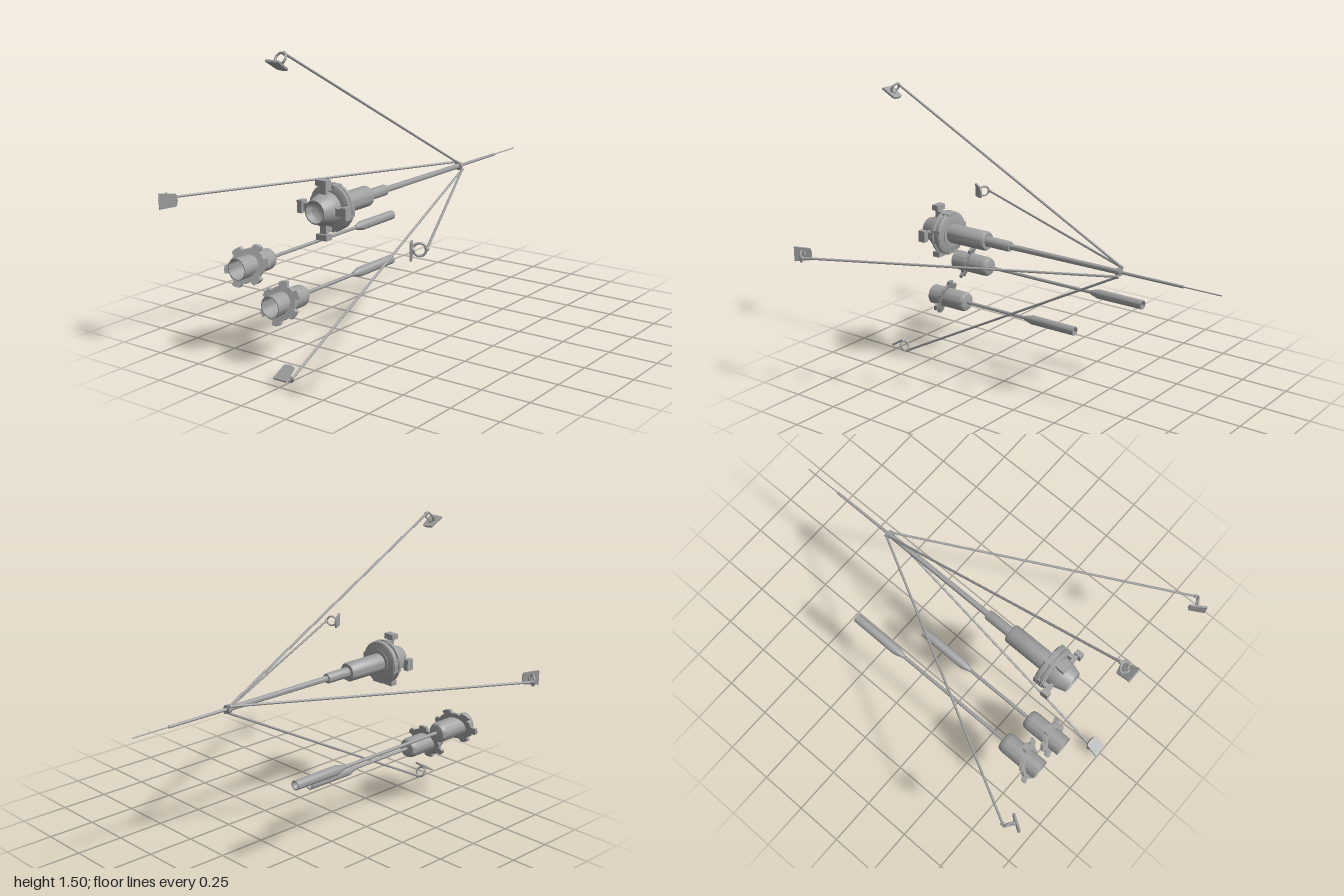
import * as THREE from 'three';
import { toCreasedNormals } from 'three/addons/utils/BufferGeometryUtils.js';

const CY = 0.753; // height of the central axis

export function createModel() {
  const model = new THREE.Group();
  const grey = new THREE.MeshStandardMaterial({ color: 0xa0a0a0 });
  grey.name = 'grey metal';

  const add = (parent, name, geo, x = 0, y = 0, z = 0) => {
    const m = new THREE.Mesh(geo, grey);
    m.name = name;
    m.position.set(x, y, z);
    parent.add(m);
    return m;
  };
  // Turned part along z; profile is [z, radius], from back to front
  const turned = (profile, sides = 32) => toCreasedNormals(
    new THREE.LatheGeometry(profile.map(([z, r]) => new THREE.Vector2(r, z)), sides).rotateX(Math.PI / 2), 0.6);
  // Round bar between two points
  const bar = (parent, name, a, b, r) => {
    const A = new THREE.Vector3(...a), B = new THREE.Vector3(...b), d = B.clone().sub(A);
    const m = add(parent, name, new THREE.CylinderGeometry(r, r, d.length(), 10));
    m.position.copy(A).addScaledVector(d, 0.5);
    m.quaternion.setFromUnitVectors(new THREE.Vector3(0, 1, 0), d.normalize());
    return m;
  };

  // Central body: stepped barrel with a hollow nose
  const core = new THREE.Group();
  core.name = 'centralProbe';
  core.position.y = CY;
  model.add(core);
  add(core, 'barrel', turned([
    [0.2, 0], [0.2, 0.024], [0.21, 0.027], [0.345, 0.027], [0.345, 0.044], [0.355, 0.05],
    [0.575, 0.05], [0.575, 0.07], [0.65, 0.078], [0.685, 0.072], [0.735, 0.056],
    [0.735, 0.05], [0.7, 0.046], [0.685, 0.03], [0.68, 0]]));
  add(core, 'rearFlange', turned([
    [0.578, 0.05], [0.578, 0.1], [0.585, 0.112], [0.6, 0.112], [0.604, 0.104],
    [0.612, 0.104], [0.616, 0.115], [0.626, 0.115], [0.634, 0.1], [0.634, 0.07]]));

  // Antenna mast stepping down to a thin tip
  add(core, 'mast', turned([
    [-1, 0], [-1, 0.003], [-0.8, 0.003], [-0.8, 0.007], [-0.46, 0.008], [-0.46, 0.013], [0.2, 0.015]], 16));
  add(core, 'mastHub', turned([[-0.458, 0], [-0.458, 0.021], [-0.438, 0.021], [-0.438, 0]], 16));

  // Four clamps around the nose
  for (let i = 0; i < 4; i++) {
    const clamp = new THREE.Group();
    clamp.name = 'clamp' + (i + 1);
    clamp.rotation.z = i * Math.PI / 2;
    core.add(clamp);
    add(clamp, 'clampHead', new THREE.BoxGeometry(0.06, 0.028, 0.04), 0, 0.127, 0.67);
    add(clamp, 'clampStem', new THREE.BoxGeometry(0.036, 0.05, 0.018), 0, 0.093, 0.667);
    add(clamp, 'clampLink', new THREE.BoxGeometry(0.036, 0.022, 0.05), 0, 0.097, 0.645);
    add(clamp, 'flangeRib', new THREE.BoxGeometry(0.07, 0.016, 0.056), 0, 0.1, 0.606);
  }

  // Tapered foot plate, wider at its outer end
  const plate = new THREE.Shape();
  plate.moveTo(-0.038, -0.045);
  plate.lineTo(0.038, -0.045);
  plate.lineTo(0.03, 0.036);
  plate.quadraticCurveTo(0, 0.05, -0.03, 0.036);
  const plateGeo = new THREE.ExtrudeGeometry(plate, { depth: 0.01, bevelEnabled: false }).rotateX(-Math.PI / 2);

  // Four splayed legs; starts sit in pairs on opposite corners of the hub
  for (let i = 0; i < 4; i++) {
    const leg = new THREE.Group();
    leg.name = 'leg' + (i + 1);
    leg.rotation.z = -i * Math.PI / 2;
    core.add(leg);
    const side = i % 2 ? 0.018 : -0.018;
    bar(leg, 'strut', [side, 0.02, -0.45], [0, 0.74, 0.917], 0.006);
    add(leg, 'strutHinge', new THREE.SphereGeometry(0.009, 10, 8), side, 0.02, -0.45);
    add(leg, 'anklePivot', new THREE.SphereGeometry(0.01, 10, 8), 0, 0.74, 0.917);
    const foot = new THREE.Group();
    foot.name = 'foot';
    foot.position.set(0, 0.693, 0.96);
    foot.rotation.x = -0.558;
    leg.add(foot);
    add(foot, 'footPlate', plateGeo, 0, -0.005, 0);
    add(foot, 'footRing', new THREE.TorusGeometry(0.027, 0.0055, 8, 24), 0, 0.034, 0);
    add(foot, 'footBoss', new THREE.CylinderGeometry(0.012, 0.016, 0.01, 12), 0, 0.008, 0);
  }

  // Six-toothed collar outline
  const collarGeo = () => {
    const s = new THREE.Shape();
    for (let i = 0; i < 6; i++) {
      const c = i * Math.PI / 3;
      [[-0.27, 0.078], [-0.2, 0.097], [0, 0.099], [0.2, 0.097], [0.27, 0.078], [0.52, 0.08]].forEach(([a, r], k) => {
        const x = r * Math.cos(c + a), y = r * Math.sin(c + a);
        if (i + k) s.lineTo(x, y); else s.moveTo(x, y);
      });
    }
    const hole = new THREE.Path();
    hole.absarc(0, 0, 0.05, 0, Math.PI * 2, true);
    s.holes.push(hole);
    return new THREE.ExtrudeGeometry(s, { depth: 0.018, bevelEnabled: false, curveSegments: 24 }).translate(0, 0, -0.009);
  };

  // Two loose probes: hollow cup, slanted collar, rod and open sleeve
  const probe = (name, x, y, back, turn, slopeX) => {
    const g = new THREE.Group();
    g.name = name;
    g.position.set(x, y, 0);
    model.add(g);
    add(g, 'cup', turned([
      [0.625, 0], [0.625, 0.036], [0.629, 0.045], [0.64, 0.051], [0.655, 0.053],
      [0.86, 0.053], [0.86, 0.049], [0.75, 0.049], [0.75, 0]]));
    bar(g, 'rod', [0, 0, back + 0.28], [0, 0, 0.63], 0.009);
    add(g, 'sleeve', turned([
      [back + 0.25, 0], [back + 0.25, 0.019], [back, 0.019], [back, 0.024],
      [back + 0.27, 0.025], [back + 0.32, 0.011], [back + 0.32, 0]], 20));
    // Shear the collar so it wraps the cup at a slant
    const geo = collarGeo().rotateZ(turn), p = geo.attributes.position;
    for (let i = 0; i < p.count; i++) p.setZ(i, p.getZ(i) + slopeX * p.getX(i) - 0.38 * p.getY(i));
    geo.computeVertexNormals();
    add(g, 'collar', toCreasedNormals(geo, 0.5), 0, 0, 0.785);
  };
  probe('longProbe', -0.37, 0.451, -0.36, 0.22, -0.42);
  probe('shortProbe', -0.17, 0.306, -0.08, 0.58, -0.2);

  return model;
}
